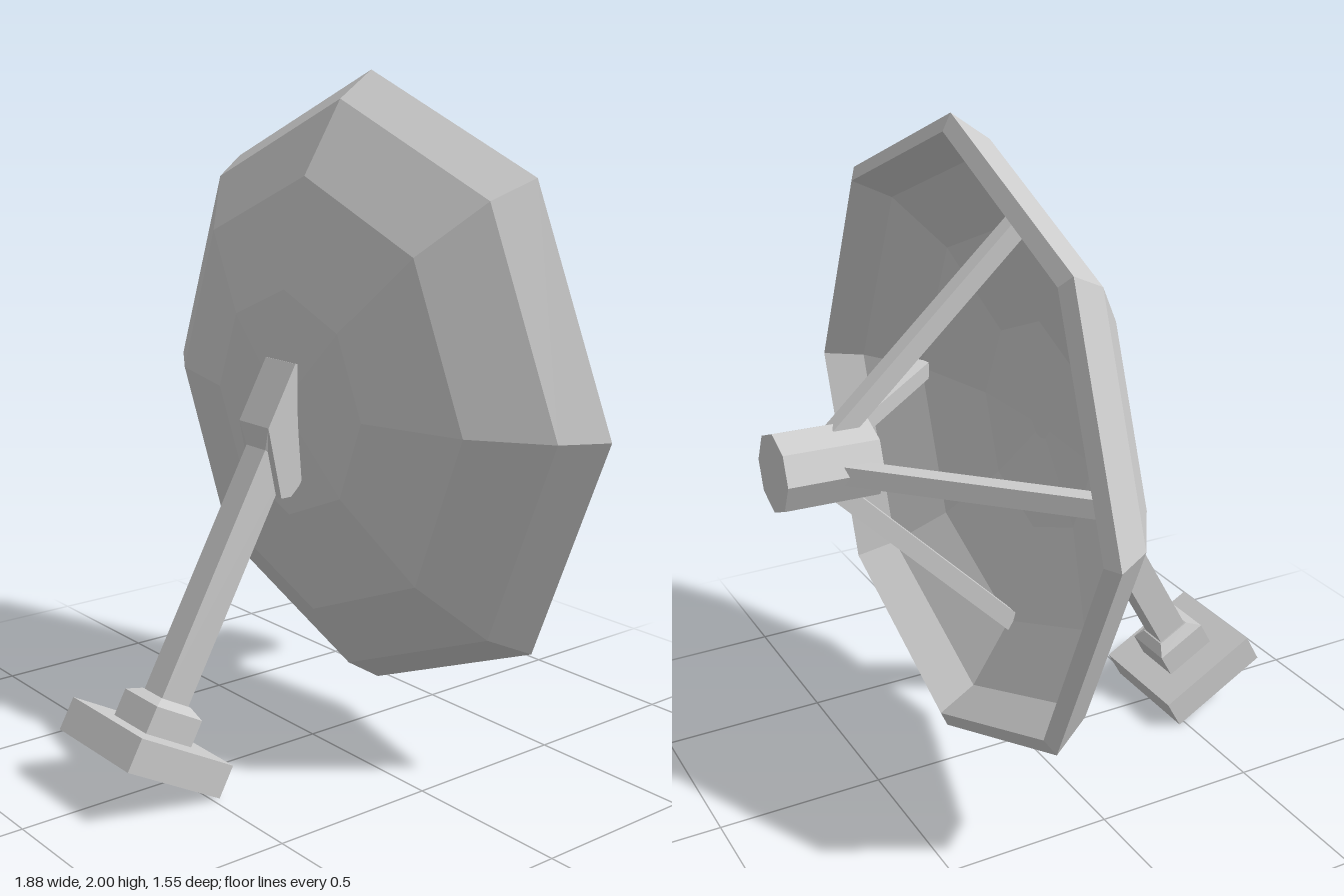
import * as THREE from 'three';

const material = new THREE.MeshStandardMaterial({ color: 0xcccccc, flatShading: true });

function add(parent, name, geometry) {
  const mesh = new THREE.Mesh(geometry, material);
  mesh.name = name;
  parent.add(mesh);
  return mesh;
}

// Box between two rectangular sections: [y, half width, back z, front z]
function taperedBox([y0, w0, b0, f0], [y1, w1, b1, f1]) {
  const geometry = new THREE.BoxGeometry(2, 2, 2);
  const p = geometry.attributes.position;
  for (let i = 0; i < p.count; i++) {
    const top = p.getY(i) > 0;
    const front = p.getZ(i) > 0;
    p.setXYZ(i, p.getX(i) * (top ? w1 : w0), top ? y1 : y0,
      top ? (front ? f1 : b1) : (front ? f0 : b0));
  }
  geometry.computeVertexNormals();
  return geometry;
}

function createDish() {
  // Local +y is the pointing axis, with the rim at y = 0
  const dish = new THREE.Group();
  dish.name = 'dishAssembly';
  dish.position.set(0, 1.063, -0.24);
  dish.rotation.x = -Math.PI / 2 + 0.025;

  // Closed eight-sided shell: outside from centre to rim, then back inside
  const profile = [
    [0, -0.355], [0.335, -0.337], [0.65, -0.254], [0.86, -0.118], [0.938, 0],
    [0.89, 0.023], [0.82, -0.088], [0.625, -0.208], [0.325, -0.286], [0, -0.303],
  ].map(([r, y]) => new THREE.Vector2(r, y));
  add(dish, 'reflector', new THREE.LatheGeometry(profile, 8));

  // Receiver in front of the bowl
  add(dish, 'receiver', new THREE.CylinderGeometry(0.115, 0.115, 0.28, 8)).position.y = 0.39;

  // Four struts from the receiver to the bowl
  const inner = new THREE.Vector2(0.085, 0.345);
  const outer = new THREE.Vector2(0.625, -0.215);
  const span = outer.clone().sub(inner);
  for (let i = 0; i < 4; i++) {
    const pivot = new THREE.Group();
    pivot.name = 'strutPivot';
    pivot.rotation.y = i * Math.PI / 2;
    dish.add(pivot);
    const strut = add(pivot, 'strut', new THREE.BoxGeometry(span.length(), 0.055, 0.055));
    strut.position.set((inner.x + outer.x) / 2, (inner.y + outer.y) / 2, 0);
    strut.rotation.z = span.angle();
  }
  return dish;
}

function createStand() {
  // Local +y runs up the leaning arm
  const stand = new THREE.Group();
  stand.name = 'stand';
  stand.position.set(0, 0.13, 0.601);
  stand.rotation.x = -0.506;

  add(stand, 'base', taperedBox([-0.053, 0.182, -0.17, 0.17], [0.045, 0.182, -0.17, 0.17]));
  add(stand, 'collar', taperedBox([0.045, 0.083, -0.085, 0.085], [0.125, 0.083, -0.085, 0.085]));
  add(stand, 'collarBevel', taperedBox([0.125, 0.083, -0.085, 0.085], [0.146, 0.05, -0.055, 0.055]));
  add(stand, 'arm', taperedBox([0.14, 0.045, -0.05, 0.05], [0.92, 0.045, -0.05, 0.05]));
  add(stand, 'armFlare', taperedBox([0.9, 0.045, -0.05, 0.05], [0.957, 0.07, -0.05, 0.089]));
  return stand;
}

// Bracket joining the arm to the back of the bowl, drawn as (z, y)
function createBracket() {
  const shape = new THREE.Shape([
    [0.215, 1.01], [0.118, 1.185], [0.06, 1.17], [0.06, 0.9], [0.105, 0.825],
    [0.135, 0.797], [0.17, 0.797],
  ].map(([z, y]) => new THREE.Vector2(z, y)));
  const geometry = new THREE.ExtrudeGeometry(shape, { depth: 0.14, bevelEnabled: false });
  geometry.translate(0, 0, -0.07);
  geometry.rotateY(-Math.PI / 2);
  return geometry;
}

export function createModel() {
  const model = new THREE.Group();
  model.name = 'satelliteDish';
  model.add(createDish(), createStand());
  add(model, 'bracket', createBracket());
  return model;
}
